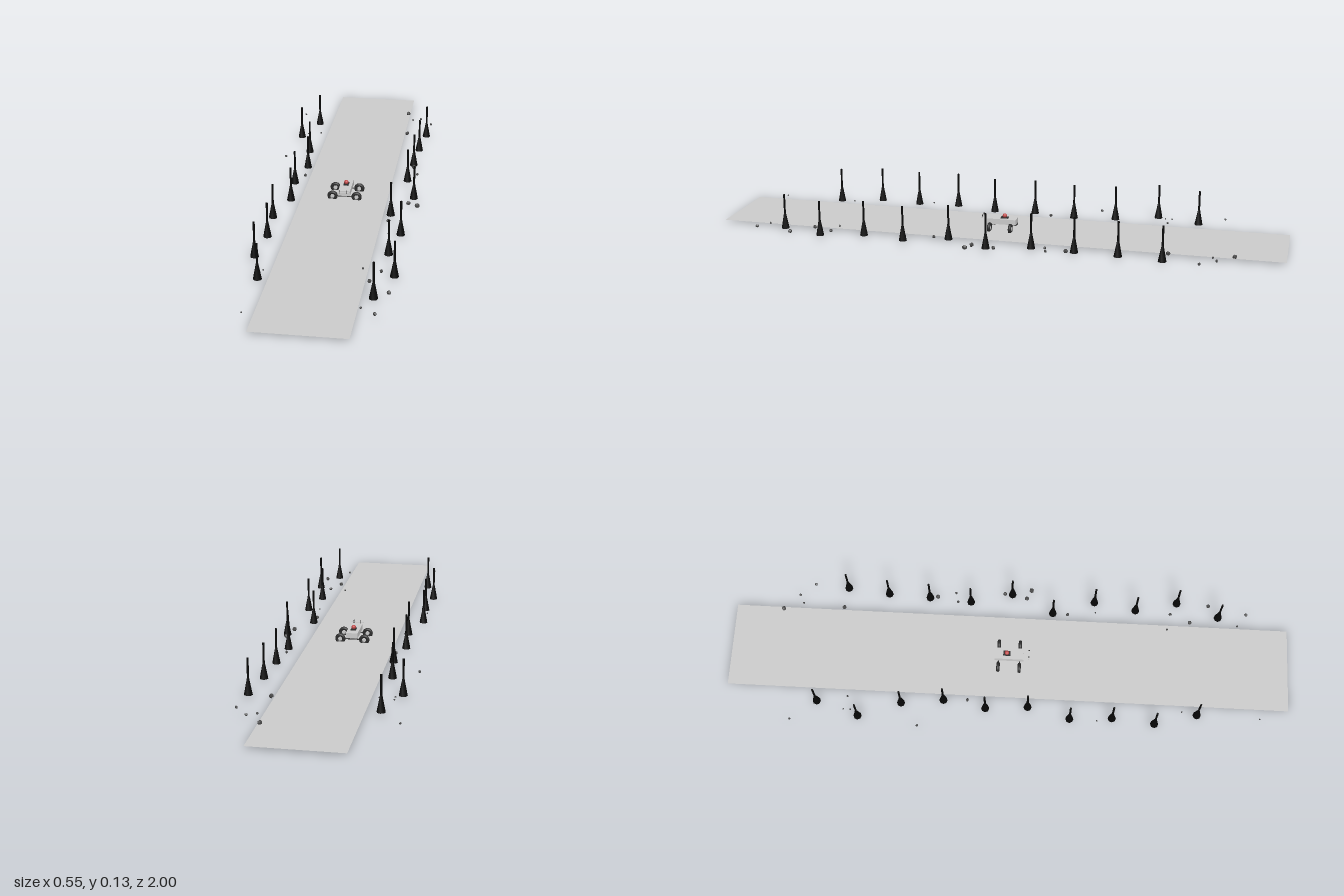
import * as THREE from 'three';

const GROUND = 0.008;
const mat = (color, flat = false) => new THREE.MeshStandardMaterial({ color, flatShading: flat });

function add(parent, name, geometry, material, x = 0, y = 0, z = 0) {
  const mesh = new THREE.Mesh(geometry, material);
  mesh.name = name;
  mesh.position.set(x, y, z);
  parent.add(mesh);
  return mesh;
}

// Small car with wheels that face along z
function makeCar() {
  const car = new THREE.Group();
  car.name = 'car';
  const grey = mat(0xcccccc), dark = mat(0x2c2c2c), red = mat(0xc04848);
  const box = (name, w, h, d, m, x, y, z) => add(car, name, new THREE.BoxGeometry(w, h, d), m, x, y, z);

  box('body', 0.042, 0.019, 0.104, grey, 0, 0.035, 0);
  box('floor', 0.018, 0.003, 0.1, dark, 0, 0.0245, 0);
  box('cockpit', 0.018, 0.004, 0.026, dark, 0, 0.046, -0.008);
  add(car, 'driverHead', new THREE.SphereGeometry(0.008, 20, 14), red, 0, 0.053, -0.008);

  // Thin wing on two end plates
  box('wing', 0.042, 0.002, 0.005, grey, 0, 0.047, 0.071);
  for (const s of [-1, 1]) box('wingPlate', 0.0015, 0.012, 0.005, dark, s * 0.0125, 0.049, 0.071);

  // Four wheels with pale hubs
  const tireGeo = new THREE.TorusGeometry(0.0125, 0.006, 12, 28);
  const hubGeo = new THREE.CylinderGeometry(0.007, 0.007, 0.01, 20).rotateX(Math.PI / 2);
  const axleGeo = new THREE.CylinderGeometry(0.002, 0.002, 0.075, 8).rotateZ(Math.PI / 2);
  for (const z of [-0.038, 0.038]) {
    add(car, 'axle', axleGeo, dark, 0, 0.0185, z);
    for (const s of [-1, 1]) {
      const wheel = new THREE.Group();
      wheel.name = 'wheel';
      wheel.position.set(s * 0.043, 0.0185, z);
      add(wheel, 'tire', tireGeo, dark);
      add(wheel, 'hub', hubGeo, grey);
      car.add(wheel);
    }
  }
  car.position.x = 0.003;
  return car;
}

// Narrow trunk rising out of a cone
function makeTree(x, z) {
  const tree = new THREE.Group();
  tree.name = 'tree';
  const black = mat(0x070707);
  const top = 0.132;
  add(tree, 'trunk', new THREE.CylinderGeometry(0.0036, 0.0036, top - GROUND, 8), black, 0, (top + GROUND) / 2, 0);
  add(tree, 'foliage', new THREE.ConeGeometry(0.0145, 0.075, 8), black, 0, GROUND + 0.0375, 0);
  tree.position.set(x, 0, z);
  return tree;
}

export function createModel() {
  const model = new THREE.Group();
  model.name = 'roadScene';

  // Flat road
  const roadMat = mat(0xcccccc);
  roadMat.side = THREE.DoubleSide;
  add(model, 'road', new THREE.PlaneGeometry(0.304, 2).rotateX(-Math.PI / 2), roadMat, 0.002, GROUND, 0);

  model.add(makeCar());

  // Trees alternate along the two sides
  const rightRow = [-0.198, -0.246, -0.19, -0.172, -0.195, -0.183, -0.219, -0.209, -0.222, -0.182];
  const leftRow = [0.24, 0.225, 0.218, 0.209, 0.246, 0.18, 0.23, 0.206, 0.241, 0.193];
  rightRow.forEach((x, i) => model.add(makeTree(x, -0.675 + i * 0.15)));
  leftRow.forEach((x, i) => model.add(makeTree(x, -0.6 + i * 0.15)));

  // Scattered rocks: x, z, radius
  const rocks = [
    [-0.27, -0.765, 0.004], [0.147, -0.83, 0.008], [0.203, -0.775, 0.005], [0.172, -0.76, 0.004],
    [0.248, -0.722, 0.005], [0.163, -0.61, 0.008], [-0.225, -0.553, 0.003], [-0.225, -0.577, 0.003],
    [-0.177, -0.567, 0.004], [-0.272, -0.312, 0.005], [0.222, -0.272, 0.008], [0.24, -0.206, 0.005],
    [0.206, -0.197, 0.005], [-0.168, -0.14, 0.006], [0.246, -0.027, 0.007], [0.232, 0.053, 0.008],
    [0.264, 0.069, 0.009], [0.177, 0.204, 0.006], [-0.222, 0.322, 0.003], [0.189, 0.305, 0.003],
    [0.137, 0.566, 0.004], [0.197, 0.577, 0.006], [0.168, 0.648, 0.007], [-0.174, 0.622, 0.003],
    [0.236, 0.715, 0.007], [0.163, 0.82, 0.004], [0.209, 0.852, 0.006], [-0.186, 0.898, 0.003],
  ];
  const rockMat = mat(0x484848, true);
  const rockGeo = new THREE.DodecahedronGeometry(1, 0);
  rocks.forEach(([x, z, r], i) => {
    const rock = add(model, 'rock', rockGeo, rockMat, x, 0.0125, z);
    rock.scale.setScalar(r);
    rock.rotation.set(i * 1.3, i * 2.1, i * 0.7);
  });
  return model;
}
